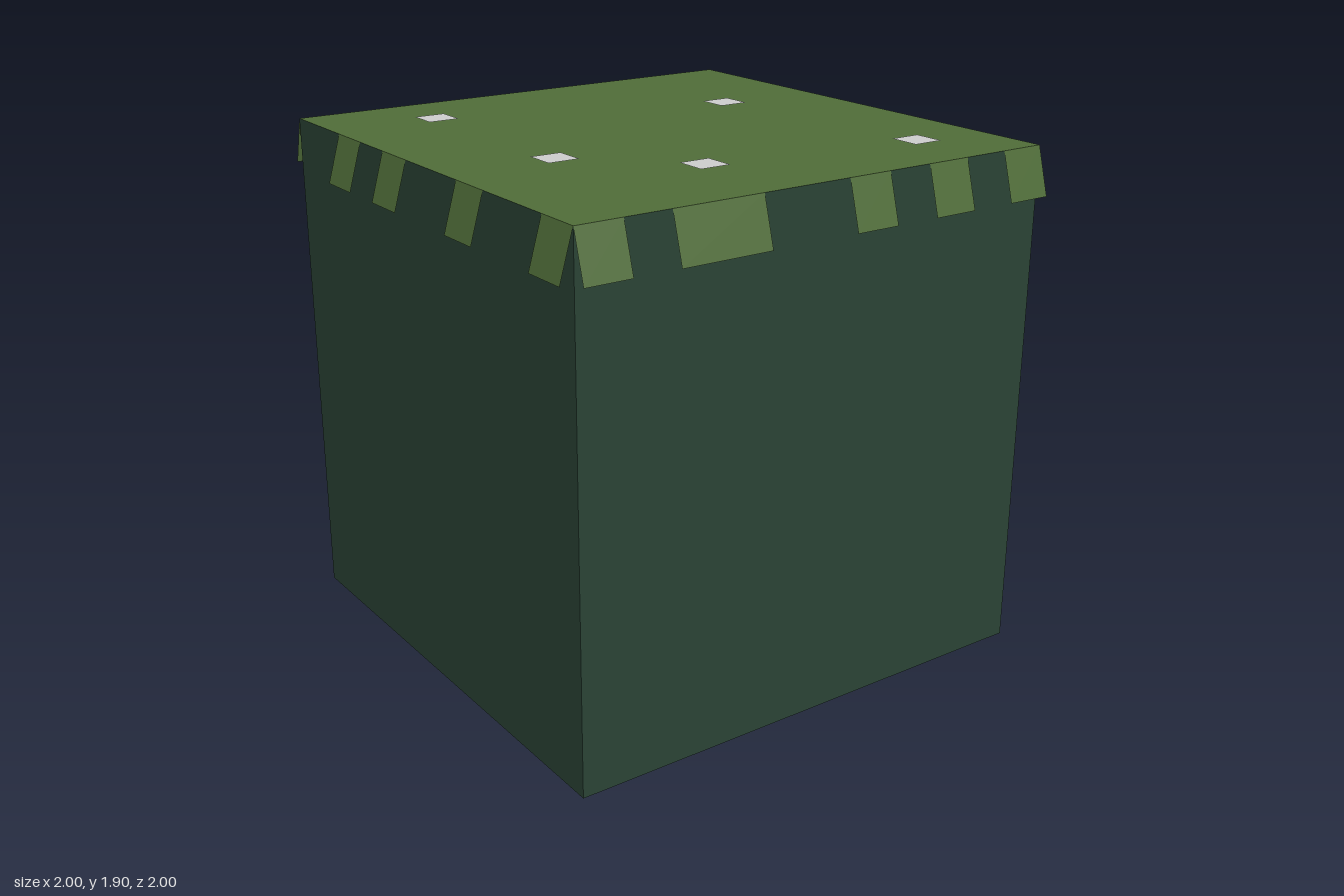
import * as THREE from 'three';

const S = 1.9, H = S / 2;      // cube side and half side
const CELL = S / 11;           // width and drop of one fringe tab
const FLARE = 0.05;            // how far a tab leans outwards
const PIXEL = S / 16;          // size of a flower patch

const mat = (color) => new THREE.MeshStandardMaterial({ color, side: THREE.DoubleSide, flatShading: true });

function add(parent, name, geometry, material) {
  const mesh = new THREE.Mesh(geometry, material);
  mesh.name = name;
  parent.add(mesh);
  return mesh;
}

// Tab hanging from the top edge of the +z side, lower edge leaning out
function tabGeometry(start, count) {
  const g = new THREE.PlaneGeometry(CELL * count, CELL);
  g.translate(-H + CELL * (start + count / 2), S - CELL / 2, H);
  const p = g.attributes.position;
  for (let i = 0; i < p.count; i++) {
    if (p.getY(i) < S - CELL / 2) p.setZ(i, H + FLARE);
  }
  g.computeVertexNormals();
  return g;
}

export function createModel() {
  const group = new THREE.Group();
  const earth = mat(0x2a4335), grass = mat(0x4f6c38), grey = mat(0xcccccc);

  // Tabs as [first cell, number of cells]
  const frontTabs = [[0, 1], [2, 2], [6, 1], [8, 1], [10, 1]];
  const rightTabs = [[0, 1], [3, 1], [6, 1], [8, 1]];
  const mirrored = (tabs) => tabs.map(([s, n]) => [11 - s - n, n]);
  const sides = [
    ['front', 0, frontTabs],
    ['left', Math.PI / 2, rightTabs],
    ['back', Math.PI, mirrored(frontTabs)],
    ['right', -Math.PI / 2, mirrored(rightTabs)],
  ];

  // Four walls with their fringe; the underside stays open
  for (const [name, angle, tabs] of sides) {
    const side = new THREE.Group();
    side.name = name + 'Side';
    side.rotation.y = angle;
    add(side, name + 'Wall', new THREE.PlaneGeometry(S, S).translate(0, H, H), earth);
    tabs.forEach(([s, n], i) => add(side, `${name}GrassTab${i + 1}`, tabGeometry(s, n), grass));
    group.add(side);
  }

  // Grass top
  add(group, 'grassTop', new THREE.PlaneGeometry(S, S).rotateX(-Math.PI / 2).translate(0, S, 0), grass);

  // Small square flowers lying on the grass, as [column, row]
  [[3, 2], [12, 5], [3, 9], [6, 12], [13, 13]].forEach(([cx, cz], i) => {
    const g = new THREE.PlaneGeometry(PIXEL, PIXEL).rotateX(-Math.PI / 2);
    add(group, `flower${i + 1}`, g, grey).position.set(-H + PIXEL * (cx + 0.5), S + 0.003, -H + PIXEL * (cz + 0.5));
  });

  return group;
}
